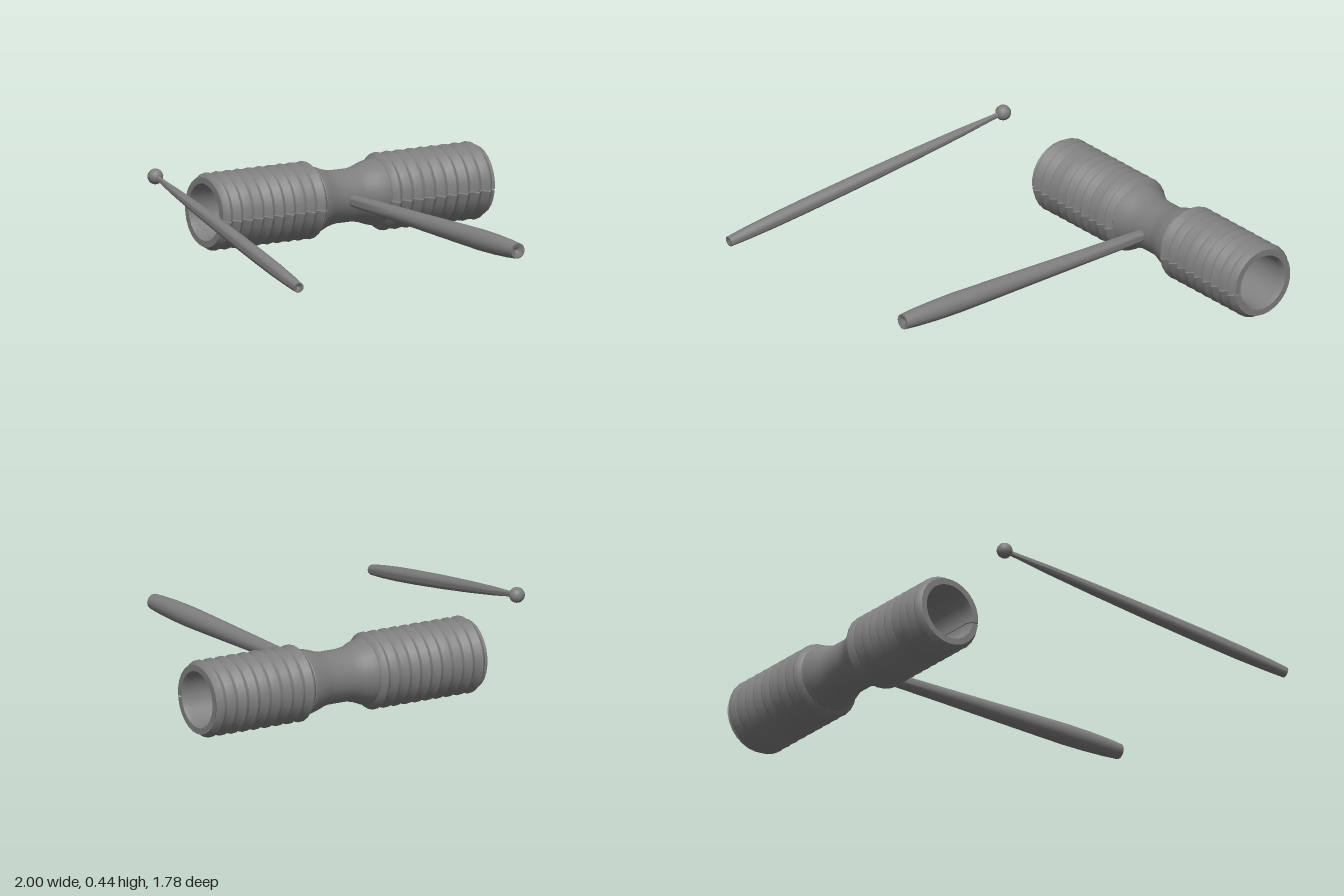
import * as THREE from 'three';
import { toCreasedNormals } from 'three/addons/utils/BufferGeometryUtils.js';

const color = 0x7e7e7e;
const material = new THREE.MeshStandardMaterial({ color });
const wallMaterial = new THREE.MeshStandardMaterial({ color, side: THREE.DoubleSide });
const vectors = (list) => list.map(([r, y]) => new THREE.Vector2(r, y));

// Revolve a profile of [radius, height] pairs around y; only square edges stay sharp
function turned(name, profile, sides, start = 0, sweep = Math.PI * 2) {
  const geometry = new THREE.LatheGeometry(vectors(profile), sides, start, sweep);
  const mesh = new THREE.Mesh(toCreasedNormals(geometry, 1.05), material);
  mesh.name = name;
  return mesh;
}

// Softly shaded zigzag ridges between two heights
function ridges(from, to, count) {
  const pitch = (to - from) / count;
  const points = [];
  for (let i = 0; i < count; i++) {
    points.push([0.156, from + (i + 0.06) * pitch], [0.183, from + (i + 0.46) * pitch],
      [0.183, from + (i + 0.54) * pitch], [0.156, from + (i + 0.94) * pitch]);
  }
  return points;
}

// Ridged tube with a narrow slit along one side
function slitTube(name, profile) {
  const group = new THREE.Group();
  group.name = name;
  const slit = 0.125, gap = 0.035;
  const start = slit + gap / 2, sweep = Math.PI * 2 - gap;
  group.add(turned('ridgedWall', [...profile, profile[0]], 26, start, sweep));
  for (const angle of [start, start + sweep]) {
    const wall = new THREE.Mesh(new THREE.ShapeGeometry(new THREE.Shape(vectors(profile))), wallMaterial);
    wall.name = 'slitWall';
    wall.rotation.y = angle - Math.PI / 2;
    group.add(wall);
  }
  return group;
}

export function createModel() {
  const model = new THREE.Group();

  // Hollow block, lying along x
  const block = new THREE.Group();
  block.name = 'toneBlock';
  block.add(slitTube('rightTube', [
    [0.135, -0.493], [0.165, -0.493], ...ridges(-0.488, 0.09, 10), [0.158, 0.09],
    [0.09, 0.09], [0.122, 0.02], [0.124, -0.46],
  ]));
  block.add(slitTube('leftTube', [
    [0.09, 0.44], [0.158, 0.44], ...ridges(0.44, 0.995, 9), [0.165, 1], [0.135, 1],
    [0.124, 0.97], [0.122, 0.51],
  ]));
  // Solid waist whose ends form the floors of the two bores
  block.add(turned('waist', [
    [0, 0.13], [0.09, 0.09], [0.158, 0.09], [0.15, 0.12], [0.137, 0.15], [0.129, 0.18],
    [0.125, 0.21], [0.125, 0.31], [0.131, 0.34], [0.145, 0.38], [0.153, 0.41],
    [0.158, 0.44], [0.09, 0.44], [0, 0.40],
  ], 26));
  block.rotation.z = -Math.PI / 2;
  block.position.set(0, 0.184, -0.706);
  model.add(block);

  // Handle, pointing forward, with a dimple in its end
  const handle = turned('handle', [
    [0, -0.64], [0.027, -0.64], [0.031, -0.5], [0.036, -0.2], [0.042, 0.1], [0.047, 0.35],
    [0.05, 0.53], [0.048, 0.66], [0.043, 0.77], [0.037, 0.845], [0.024, 0.845], [0, 0.82],
  ], 20);
  handle.rotation.x = Math.PI / 2;
  handle.position.set(0.254, 0.18, 0);
  model.add(handle);

  // Separate beater with a ball tip
  const butt = new THREE.Vector3(-0.973, 0.14, 0.885);
  const tip = new THREE.Vector3(-0.809, 0.4, -0.627);
  const along = tip.clone().sub(butt);
  const length = along.length();
  const beater = new THREE.Group();
  beater.name = 'beater';
  beater.add(turned('beaterStick', [
    [0, 0.02], [0.015, 0], [0.025, 0], [0.03, 0.1], [0.034, 0.25], [0.035, 0.45],
    [0.033, 0.75], [0.028, 1.05], [0.021, 1.3], [0.013, 1.47], [0.011, length],
  ], 18));
  const ball = new THREE.Mesh(new THREE.SphereGeometry(0.037, 20, 14), material);
  ball.name = 'beaterBall';
  ball.position.y = length;
  beater.add(ball);
  beater.position.copy(butt);
  beater.quaternion.setFromUnitVectors(new THREE.Vector3(0, 1, 0), along.normalize());
  model.add(beater);

  return model;
}
